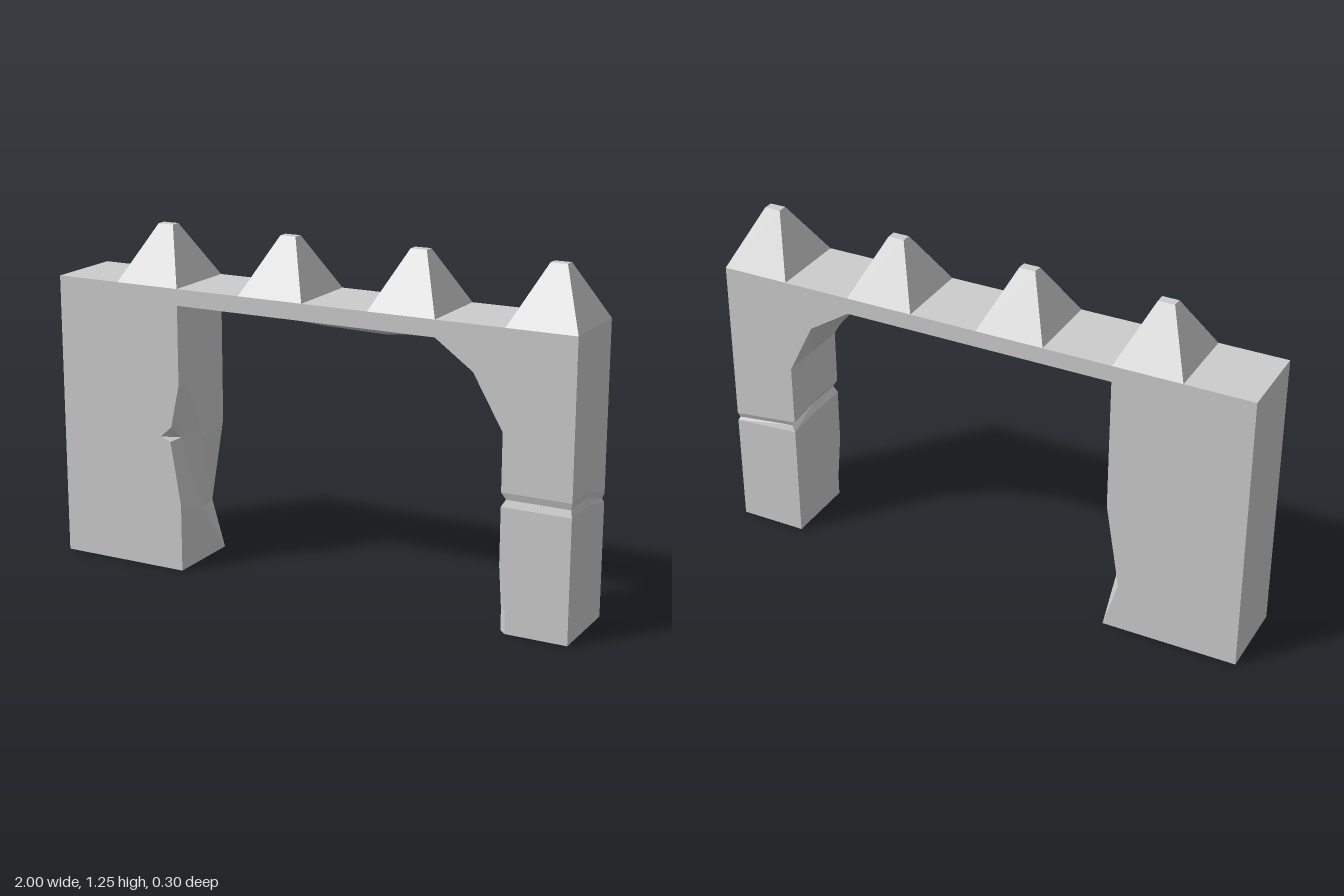
import * as THREE from 'three';

const HALF = 0.15, TOP = 1.05;

// Flat-shaded surface through rows of [x, y, z] points
function loft(rows) {
  const pos = [];
  for (let i = 0; i < rows.length - 1; i++) {
    for (let j = 0; j < rows[i].length - 1; j++) {
      const a = rows[i][j], b = rows[i][j + 1], c = rows[i + 1][j + 1], d = rows[i + 1][j];
      pos.push(...a, ...b, ...c, ...a, ...c, ...d);
    }
  }
  const g = new THREE.BufferGeometry();
  g.setAttribute('position', new THREE.Float32BufferAttribute(pos, 3));
  g.computeVertexNormals();
  return g;
}
const atZ = (points, z) => points.map(([x, y]) => [x, y, z]);
const closed = ring => [...ring, ring[0]];

export function createModel() {
  const group = new THREE.Group();
  const stone = new THREE.MeshStandardMaterial({ color: 0xcccccc, flatShading: true, side: THREE.DoubleSide });
  stone.name = 'grey stone';
  const add = (name, geometry) => {
    const mesh = new THREE.Mesh(geometry, stone);
    mesh.name = name;
    group.add(mesh);
    return mesh;
  };

  // Opening outline at four depths, from the wide pillar's foot to the thin pillar's crack
  const front = [[-0.5, 0], [-0.5, 0.25], [-0.54, 0.485], [-0.58, 0.5], [-0.535, 0.54], [-0.5, 0.7], [-0.5, 0.99],
    [-0.25, 0.99], [0, 0.99], [0.25, 0.99], [0.5, 0.99], [0.64, 0.89], [0.75, 0.7], [0.75, 0.495]];
  const middle = [[-0.5, 0], [-0.5, 0.2], [-0.5, 0.47], [-0.5, 0.49], [-0.5, 0.51], [-0.5, 0.7], [-0.5, 0.99],
    [-0.25, 0.99], [0, 0.945], [0.25, 0.94], [0.5, 0.99], [0.61, 0.865], [0.75, 0.7], [0.75, 0.495]];
  const back = [[-0.5, 0], [-0.553, 0.18], [-0.5, 0.5], [-0.5, 0.53], [-0.5, 0.56], [-0.5, 0.7], [-0.5, 0.99],
    [-0.25, 0.99], [0, 0.99], [0.25, 0.99], [0.5, 0.99], [0.655, 0.89], [0.75, 0.7], [0.75, 0.475]];
  // The small nick closes to a point a little behind the front
  const nickZ = 0.095, t = 1 - nickZ / HALF;
  const nick = front.map(([x, y], i) => (i > 1 && i < 5)
    ? [-0.527, 0.49]
    : [x + (middle[i][0] - x) * t, y + (middle[i][1] - y) * t]);
  add('innerArch', loft([atZ(back, -HALF), atZ(middle, 0), atZ(nick, nickZ), atZ(front, HALF)]));

  // Front and back walls
  const wall = (profile, rightY) => {
    const points = [[-1, 0], ...profile, [1, rightY], [1, TOP], [-1, TOP]];
    return points.map(([x, y]) => new THREE.Vector2(x, y));
  };
  add('frontWall', new THREE.ShapeGeometry(new THREE.Shape(wall(front, 0.495))).translate(0, 0, HALF));
  const backPoints = wall(back, 0.445).map(p => new THREE.Vector2(-p.x, p.y));
  add('backWall', new THREE.ShapeGeometry(new THREE.Shape(backPoints)).translate(0, 0, HALF).rotateY(Math.PI));

  // Foot of the wide pillar, outer sides and top
  const outer = y => [[-0.5, 0], [-1, 0], [-1, TOP], [1, TOP], [1, y]];
  add('outerShell', loft([atZ(outer(0.495), HALF), atZ(outer(0.495), 0), atZ(outer(0.445), -HALF)]));

  // Thin pillar below the arch: crack groove and chipped front inner corner
  const ring = (heights, left = 0.75, right = 1, z = HALF, chip = 0) => {
    const [f, m, br, bl] = heights;
    return closed([[left, f, z - chip], [left + chip, f, z], [right, f, z], [right, m, 0],
      [right, br, -z], [left, bl, -z], [left, m, 0]]);
  };
  const level = (y, chip) => ring([y, y, y, y], 0.75, 1, HALF, chip);
  const crackLow = ring([0.445, 0.445, 0.415, 0.433]);
  const crackDeep = ring([0.47, 0.472, 0.427, 0.455], 0.765, 0.994, 0.143);
  const crackHigh = ring([0.495, 0.495, 0.445, 0.475]);
  add('thinPillar', loft([level(0, 0.025), level(0.08, 0.025), level(0.24, 0), crackLow]));
  add('crack', loft([crackLow, crackDeep, crackHigh]));

  // Four blunt spikes along the top
  const square = (w, d, y) => closed([[-w, y, d], [w, y, d], [w, y, -d], [-w, y, -d]]);
  const spike = loft([square(0.125, HALF, 0), square(0.03, 0.018, 0.2), square(0, 0, 0.2)]);
  for (let i = 0; i < 4; i++) {
    add('spike' + (i + 1), spike).position.set(-0.625 + i * 0.5, TOP, 0);
  }
  return group;
}
